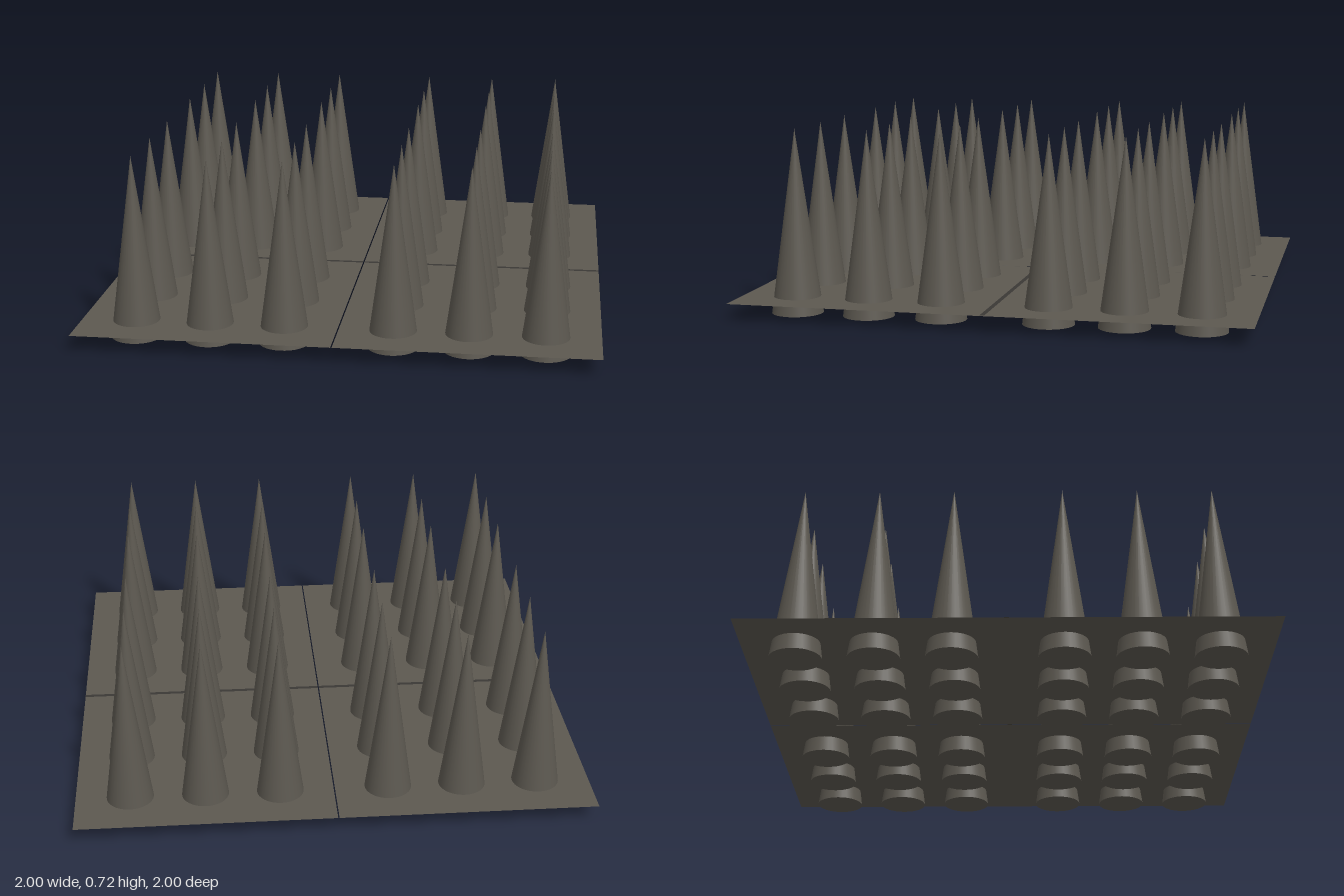
import * as THREE from 'three';

export function createModel() {
  const model = new THREE.Group();
  const stone = new THREE.MeshStandardMaterial({ color: 0x5c5850 });
  stone.name = 'dark stone';
  const sheet = new THREE.MeshStandardMaterial({ color: 0x5c5850, side: THREE.DoubleSide });
  sheet.name = 'dark stone sheet';
  const shade = new THREE.MeshStandardMaterial({ color: 0x3a3835, side: THREE.DoubleSide });
  shade.name = 'seam shade';

  const plateY = 0.065, height = 0.72, pitch = 0.29, gap = 0.005;
  const spikeGeo = new THREE.ConeGeometry(0.1, height, 32);
  const plateGeo = new THREE.PlaneGeometry(1 - gap / 2, 1).rotateX(-Math.PI / 2);
  const seamGeo = new THREE.PlaneGeometry(1 - gap / 2, 0.018).rotateX(-Math.PI / 2);

  // Four square tiles, each a thin sheet pierced by a 3 x 3 grid of spikes
  for (const sx of [-1, 1]) {
    for (const sz of [-1, 1]) {
      const tile = new THREE.Group();
      tile.name = 'spikeTile';
      tile.position.set(sx * 0.5, 0, sz * 0.5);

      const plate = new THREE.Mesh(plateGeo, sheet);
      plate.name = 'basePlate';
      plate.position.set(sx * gap / 4, plateY, 0);
      tile.add(plate);

      for (let i = -1; i <= 1; i++) {
        for (let j = -1; j <= 1; j++) {
          const spike = new THREE.Mesh(spikeGeo, stone);
          spike.name = 'spike';
          spike.position.set(i * pitch, height / 2, j * pitch);
          tile.add(spike);
        }
      }
      model.add(tile);
    }

    // Dark joint between the front and back tiles
    const seam = new THREE.Mesh(seamGeo, shade);
    seam.name = 'tileSeam';
    seam.position.set(sx * (0.5 + gap / 4), plateY + 0.002, -0.003);
    model.add(seam);
  }
  return model;
}
